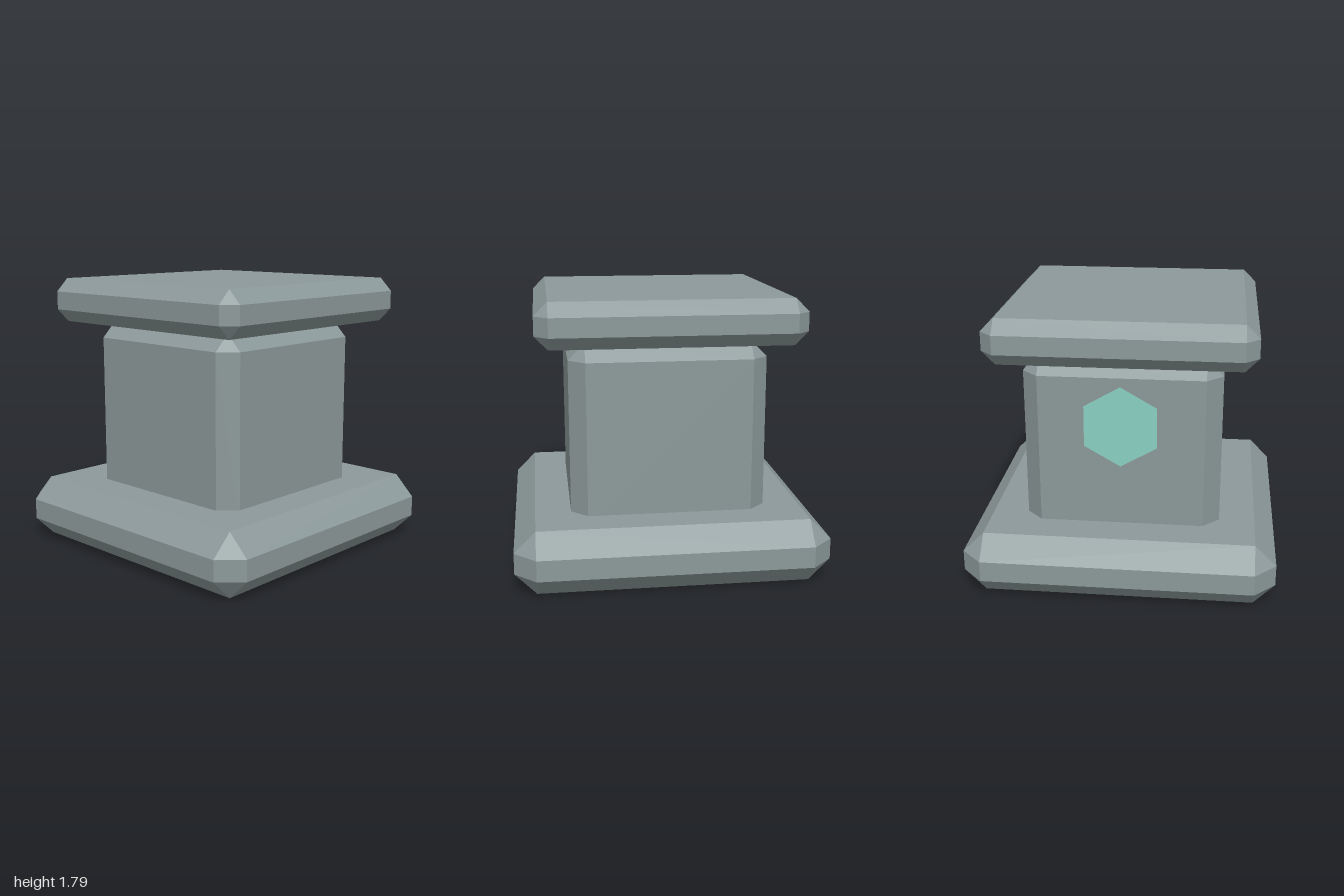
import * as THREE from 'three';
import { ConvexGeometry } from 'three/addons/geometries/ConvexGeometry.js';

const stone = new THREE.MeshStandardMaterial({ color: 0x8c999a, flatShading: true });
const teal = new THREE.MeshStandardMaterial({ color: 0x8ad0c3, flatShading: true, side: THREE.DoubleSide });

// Square block with every edge chamfered by c, leaving a small triangle at each corner
function chamferedBlock(name, half, bottom, top, c) {
  const h = (top - bottom) / 2;
  const points = [];
  for (const x of [-1, 1]) for (const y of [-1, 1]) for (const z of [-1, 1]) {
    points.push(
      new THREE.Vector3(x * half, y * (h - c), z * (half - c)),
      new THREE.Vector3(x * (half - c), y * h, z * (half - c)),
      new THREE.Vector3(x * (half - c), y * (h - c), z * half)
    );
  }
  const mesh = new THREE.Mesh(new ConvexGeometry(points), stone);
  mesh.name = name;
  mesh.position.y = (bottom + top) / 2;
  return mesh;
}

export function createModel() {
  const group = new THREE.Group();
  group.name = 'pedestal';

  group.add(
    chamferedBlock('base', 1, 0, 0.41, 0.137),
    chamferedBlock('body', 0.633, 0.239, 1.505, 0.105),
    chamferedBlock('cap', 0.837, 1.505, 1.795, 0.085)
  );

  // Flat hexagon, point up, floating just behind the body
  const plate = new THREE.Mesh(new THREE.CircleGeometry(0.265, 6, Math.PI / 2), teal);
  plate.name = 'backHexagonPlate';
  plate.position.set(0, 1.095, -0.68);
  plate.rotation.y = Math.PI;
  group.add(plate);

  return group;
}
